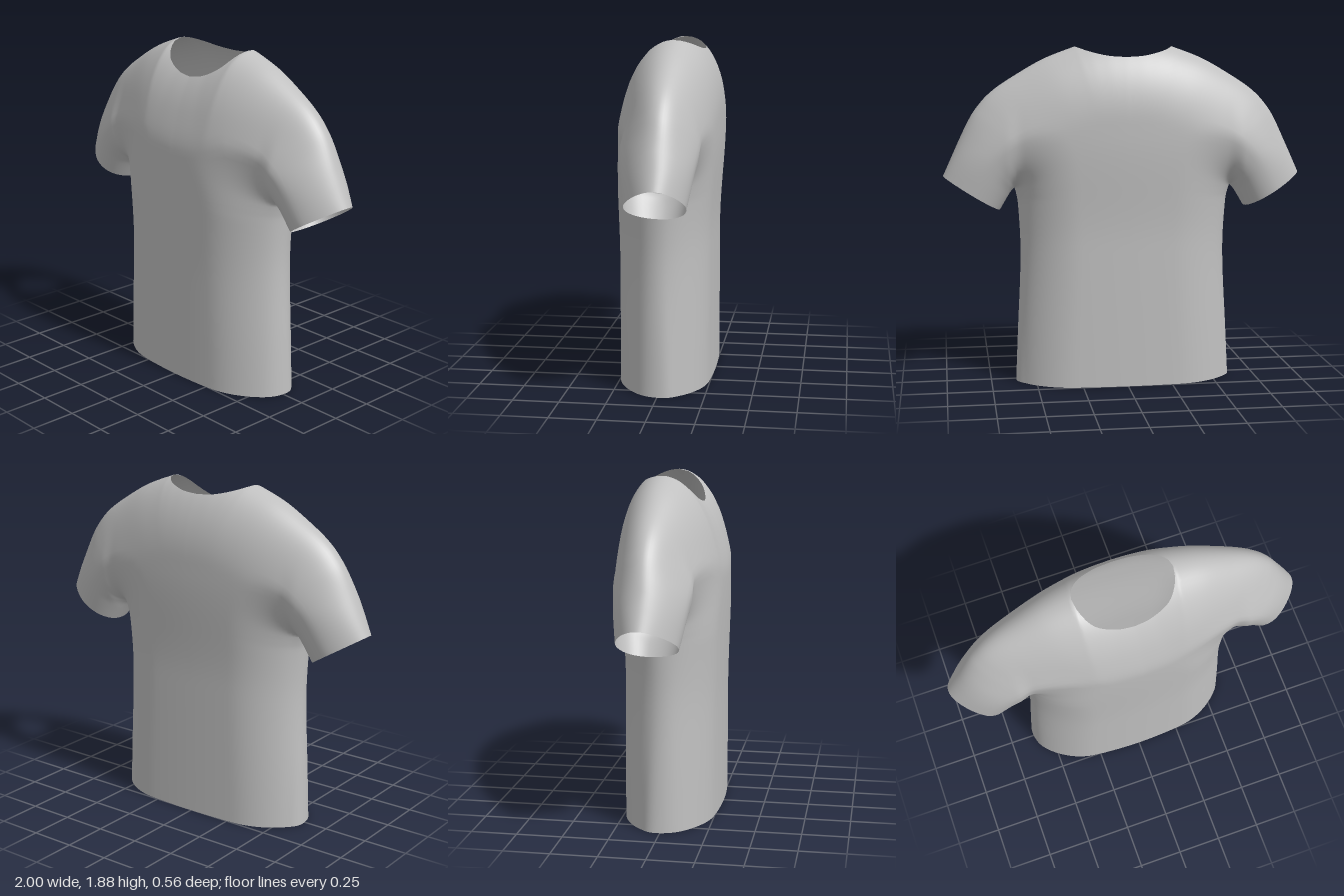
import * as THREE from 'three';
import { mergeVertices } from 'three/addons/utils/BufferGeometryUtils.js';

const N = 28; // steps across the body and up the armhole
const ROWS = 24; // steps from hem to armpit
const CUFF = 18; // steps along the sleeve

const V = (x, y) => new THREE.Vector2(x, y);
const spline = (...pts) => new THREE.SplineCurve(pts.map(([x, y]) => V(x, y)));
const sample = (curve, n, a = 0, b = 1) =>
  Array.from({ length: n + 1 }, (_, i) => curve.getPoint(a + ((b - a) * i) / n));
const { lerp, smoothstep } = THREE.MathUtils;

// Outline of the left half, seen from the front
const side = sample(spline([0.61, 0], [0.596, 0.3], [0.58, 0.6], [0.577, 0.8], [0.588, 1], [0.597, 1.06], [0.608, 1.1]), ROWS);
const underarm = sample(spline([0.608, 1.1], [0.636, 1.07], [0.69, 0.98]), CUFF);
const topCurve = spline([0.27, 1.875], [0.44, 1.81], [0.6, 1.72], [0.72, 1.64], [0.8, 1.56], [0.87, 1.45], [1, 1.17]);
const shoulder = sample(topCurve, N / 2, 0, 1 / 3);
const sleeveTop = sample(topCurve, CUFF, 1 / 3, 1);

// Neckline, and the shoulder line continued over the neck hole, for each sheet
const sheets = [
  {
    sign: 1, topRound: 0.6,
    neck: spline([0, 1.72], [0.1, 1.737], [0.2, 1.79], [0.27, 1.875]),
    bridge: [V(0, 1.83), V(0.1, 1.837), V(0.2, 1.858), V(0.27, 1.875)],
    depth: (x, y) => 0.265 + 0.015 * smoothstep(y, 0.6, 1.3) - 0.2 * x * x,
  },
  {
    sign: -1, topRound: 0.42,
    neck: spline([0, 1.82], [0.1, 1.827], [0.2, 1.85], [0.27, 1.875]),
    bridge: [V(0, 1.905), V(0.1, 1.902), V(0.2, 1.89), V(0.27, 1.875)],
    depth: (x, y) => 0.255 + 0.03 * smoothstep(y, 0.8, 1.4) - 0.12 * x * x,
  },
];

function distanceTo(lines, p) {
  let best = Infinity;
  for (const line of lines) {
    for (let i = 1; i < line.length; i++) {
      const a = line[i - 1], b = line[i];
      const dx = b.x - a.x, dy = b.y - a.y;
      const t = THREE.MathUtils.clamp(((p.x - a.x) * dx + (p.y - a.y) * dy) / (dx * dx + dy * dy), 0, 1);
      best = Math.min(best, Math.hypot(p.x - a.x - t * dx, p.y - a.y - t * dy));
    }
  }
  return best;
}

// Cloth depth: rounds over from the outline to the full chest depth
function clothZ(sheet, lines, p) {
  const sleeve = smoothstep(0.52 * p.x - 0.85 * p.y, -1.05, -0.55) * smoothstep(p.x, 0.56, 0.66);
  const body = lerp(0.32, sheet.topRound, smoothstep(p.y, 1, 1.55));
  const radius = lerp(body, 0.19, sleeve);
  const middle = -0.04 * Math.max(smoothstep(p.y, 1, 1.5), sleeve);
  const d = distanceTo(lines, p);
  const t = d < 1e-5 ? 0 : Math.min(1, d / radius);
  const round = Math.sqrt(1 - (1 - t) ** 2);
  return middle + (sheet.sign * sheet.depth(p.x, p.y) - middle) * round;
}

function shirtGeometry() {
  const positions = [], indices = [];
  const easeOut = (j) => Math.sin((j / N) * Math.PI / 2);
  const easeBoth = (i) => (1 - Math.cos((i / N) * Math.PI)) / 2;

  for (const sheet of sheets) {
    const lines = [side, underarm, shoulder, sleeveTop, sheet.bridge];
    const across = (edge) => Array.from({ length: N + 1 }, (_, j) => V(edge.x * easeOut(j), edge.y));

    // Torso rows from hem to armpit
    const torso = side.map(across);

    // Chest rows from armpit level to neckline and shoulder
    const chestBottom = torso[ROWS];
    const chestTop = [...sample(sheet.neck, N / 2), ...shoulder.slice(1)];
    const chest = Array.from({ length: N + 1 }, (_, i) =>
      chestBottom.map((p, j) => p.clone().lerp(chestTop[j], easeBoth(i))));

    // Sleeve rows from underarm to top
    const sleeve = Array.from({ length: N + 1 }, (_, i) =>
      underarm.map((p, k) => p.clone().lerp(sleeveTop[k], easeBoth(i))));

    for (const grid of [torso, chest, sleeve]) {
      const depths = grid.map((row) => row.map((p) => clothZ(sheet, lines, p)));
      for (const mirror of [1, -1]) {
        const start = positions.length / 3, w = grid[0].length;
        grid.forEach((row, i) => row.forEach((p, j) => positions.push(mirror * p.x, p.y, depths[i][j])));
        for (let i = 0; i < grid.length - 1; i++) {
          for (let j = 0; j < w - 1; j++) {
            const a = start + i * w + j, b = a + 1, c = b + w, d = a + w;
            if (mirror * sheet.sign > 0) indices.push(a, b, c, a, c, d);
            else indices.push(a, c, b, a, d, c);
          }
        }
      }
    }
  }

  // Weld all patches so the cloth shades as one smooth surface
  let geometry = new THREE.BufferGeometry();
  geometry.setAttribute('position', new THREE.Float32BufferAttribute(positions, 3));
  geometry.setIndex(indices);
  geometry = mergeVertices(geometry, 1e-4);
  geometry.computeVertexNormals();
  return geometry;
}

export function createModel() {
  const group = new THREE.Group();
  group.name = 'tShirt';
  const cloth = new THREE.MeshStandardMaterial({ color: 0xc0c0c0, side: THREE.DoubleSide });
  cloth.name = 'greyCloth';
  const shirt = new THREE.Mesh(shirtGeometry(), cloth);
  shirt.name = 'shirtBody';
  group.add(shirt);
  return group;
}
